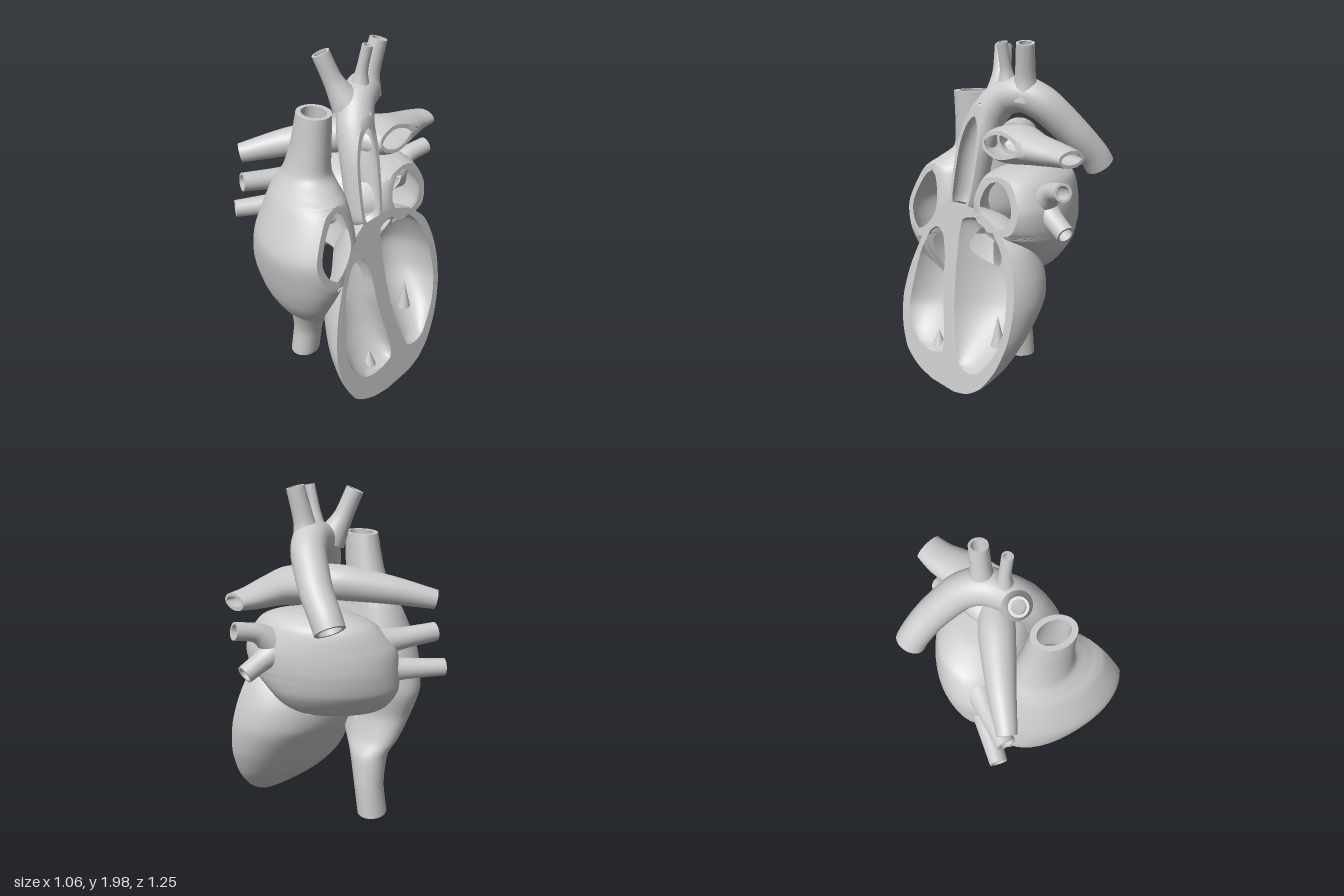
import * as THREE from 'three';
import { toCreasedNormals } from 'three/addons/utils/BufferGeometryUtils.js';

const material = new THREE.MeshStandardMaterial({ color: 0xcccccc, side: THREE.DoubleSide });
const V = (x, y, z) => new THREE.Vector3(x, y, z);

// The section plane that opens the chambers: everything with x beyond it is cut away.
const NORMAL = V(1, 0.17, -0.28), OFFSET = 0.46;
const planeX = (y, z) => OFFSET - 0.17 * y + 0.28 * z;
const ALONG_PLANE = V(0.28, 0, 1);

// Valve openings, oval in z and y: [z, y, half width, half height, lowest x affected].
const VALVES = [[-0.155, 0.855, 0.135, 0.155, -0.12], [0.215, 0.71, 0.11, 0.16, 0]];

// Station centred on the section plane, from z0 to z1, reaching inwards by depth.
const onPlane = (y, z0, z1, depth) =>
  [planeX(y, (z0 + z1) / 2), y, (z0 + z1) / 2, depth, Math.abs(z1 - z0) / 2];

// Cuts the valve ovals cleanly out of a list of triangles.
function openValves(triangles) {
  for (const [z, y, w, h, x] of VALVES) {
    const field = p => Math.hypot((p.z - z) / w, (p.y - y) / h) - 1;
    triangles = triangles.flatMap(t => {
      if (t.every(p => p.x < x)) return [t];
      const kept = [];
      t.forEach((p, i) => {
        const q = t[(i + 1) % 3], a = field(p), b = field(q);
        if (a >= 0) kept.push(p);
        if (a * b < 0) kept.push(p.clone().lerp(q, a / (a - b)));
      });
      return kept.slice(2).map((p, i) => [kept[0], kept[i + 1], p]);
    });
  }
  return triangles;
}

// Ring stations [x, y, z, ru, rv] swept into a shell that is cut by the plane.
// across makes the rings horizontal, with x and that vector as their axes;
// wall > 0 adds an inner skin and lips.
function sweep(stations, { wall = 0, across = null, valves = false, arc = 40 } = {}) {
  const path = new THREE.CatmullRomCurve3(stations.map(s => V(s[0], s[1], s[2])), false, 'catmullrom', 0.4);
  const radii = new THREE.CatmullRomCurve3(stations.map(s => V(s[3], s[4] ?? s[3], 0)), false, 'catmullrom', 0.4);
  const steps = (stations.length - 1) * 9;
  const rings = [], first = [], last = [];
  let u = V(1, 0, 0), v = across;

  for (let j = 0; j <= steps; j++) {
    const c = path.getPoint(j / steps), r = radii.getPoint(j / steps);
    if (!across) {
      const t = path.getTangent(j / steps);
      u = u.clone().addScaledVector(t, -u.dot(t)).normalize();
      v = t.clone().cross(u);
    }
    // the part of an ellipse that lies behind the section plane
    const section = inset => {
      const a = Math.max(r.x - inset, 0.002), b = Math.max(r.y - inset, 0.002);
      const pu = a * NORMAL.dot(u), pv = b * NORMAL.dot(v);
      const side = (OFFSET - NORMAL.dot(c)) / Math.hypot(pu, pv);
      const half = Math.acos(THREE.MathUtils.clamp(side, -1, 1));
      const middle = Math.atan2(pv, pu);
      const points = Array.from({ length: arc + 1 }, (_, i) => {
        const q = middle + half + (2 * Math.PI - 2 * half) * i / arc;
        return c.clone().addScaledVector(u, a * Math.cos(q)).addScaledVector(v, b * Math.sin(q));
      });
      return { points, cut: half > 0 };
    };
    const outer = section(0);
    first.push(outer.points[0]);
    last.push(outer.points[arc]);
    if (!wall) {
      rings.push(outer.points);
      continue;
    }
    // where only the outer skin is cut, bring the inner ends up to a flat lip
    const inner = section(wall).points;
    if (outer.cut) for (const p of [inner[0], inner[arc]])
      p.addScaledVector(NORMAL, (OFFSET - NORMAL.dot(p)) / NORMAL.lengthSq());
    rings.push([...outer.points, ...inner.reverse()]);
  }

  let triangles = [];
  const n = rings[0].length;
  const quad = (a, b, c, d) => triangles.push([a, b, c], [a, c, d]);
  for (let j = 0; j < steps; j++)
    for (let i = 0; i < (wall ? n : n - 1); i++) {
      const k = (i + 1) % n;
      quad(rings[j][i], rings[j + 1][i], rings[j + 1][k], rings[j][k]);
    }
  // lips joining both skins at the open ends
  if (wall) for (const ring of [rings[0], rings[steps]])
    for (let i = 0; i < arc; i++) {
      const q = [ring[i], ring[i + 1], ring[n - 2 - i], ring[n - 1 - i]];
      quad(...(ring === rings[0] ? q : q.reverse()));
    }
  if (valves) triangles = openValves(triangles);
  const geometry = new THREE.BufferGeometry().setFromPoints(triangles.flat());
  return { geometry: toCreasedNormals(geometry, 0.8), edge: [...first, ...last.reverse()] };
}

export function createModel() {
  const heart = new THREE.Group();
  heart.name = 'heartSection';
  const add = (name, geometry) => {
    const mesh = new THREE.Mesh(geometry, material);
    mesh.name = name;
    heart.add(mesh);
    return mesh;
  };
  const vessel = (name, wall, ...stations) => add(name, sweep(stations, { wall, arc: 28 }).geometry);

  // Right atrium with the upper and lower great veins
  add('rightAtriumAndVeins', sweep([
    [0.08, 1.69, 0.275, 0.12, 0.095], [0.05, 1.5, 0.28, 0.14, 0.11], [0.025, 1.36, 0.29, 0.17, 0.13],
    [0.05, 1.29, 0.31, 0.235, 0.16], [0.08, 1.22, 0.33, 0.295, 0.195], [0.09, 1.0, 0.36, 0.375, 0.26],
    [0.05, 0.8, 0.38, 0.375, 0.215], [0.03, 0.63, 0.365, 0.305, 0.175], [-0.02, 0.48, 0.3, 0.235, 0.145],
    [-0.1, 0.38, 0.23, 0.14, 0.12], [-0.15, 0.2, 0.2, 0.1, 0.1], [-0.175, 0.01, 0.21, 0.095, 0.1],
  ], { wall: 0.03, across: V(0.2, 0, 1), valves: true }).geometry);

  // Left atrium, reaching diagonally behind the right one
  add('leftAtrium', sweep([
    [-0.08, 1.33, -0.16, 0.02, 0.02], [-0.08, 1.31, -0.16, 0.15, 0.16], [-0.08, 1.25, -0.13, 0.28, 0.27],
    [-0.08, 1.12, -0.1, 0.33, 0.36], [-0.1, 1.0, -0.09, 0.32, 0.365], [-0.17, 0.88, -0.07, 0.23, 0.33],
    [-0.18, 0.79, -0.05, 0.16, 0.28], [-0.18, 0.73, -0.03, 0.1, 0.2], [-0.18, 0.71, -0.03, 0.02, 0.02],
  ], { wall: 0.035, across: V(-0.4, 0, 1), valves: true }).geometry);

  // Ventricles: outer wall, two cavities and the cut face between them
  const ventricle = { across: ALONG_PLANE, valves: true };
  const outer = sweep([
    onPlane(0.02, -0.16, 0.05, 0.01), onPlane(0.05, -0.27, 0.19, 0.05), onPlane(0.12, -0.37, 0.32, 0.13),
    onPlane(0.25, -0.46, 0.4, 0.25), onPlane(0.42, -0.52, 0.435, 0.34), onPlane(0.6, -0.53, 0.41, 0.42),
    onPlane(0.75, -0.5, 0.36, 0.4), onPlane(0.9, -0.43, 0.29, 0.31), onPlane(1.02, -0.28, 0.21, 0.2),
    onPlane(1.08, -0.1, 0.12, 0.05),
  ], ventricle);
  const rightCavity = sweep([
    onPlane(0.18, 0.08, 0.14, 0.01), onPlane(0.2, 0.0, 0.22, 0.06), onPlane(0.27, -0.01, 0.3, 0.12),
    onPlane(0.4, 0.02, 0.36, 0.17), onPlane(0.6, 0.07, 0.345, 0.18), onPlane(0.75, 0.09, 0.315, 0.15),
    onPlane(0.87, 0.13, 0.26, 0.09), onPlane(0.91, 0.18, 0.21, 0.01),
  ], ventricle);
  const leftCavity = sweep([
    onPlane(0.17, -0.28, -0.22, 0.01), onPlane(0.2, -0.34, -0.16, 0.06), onPlane(0.34, -0.44, -0.1, 0.17),
    onPlane(0.5, -0.48, -0.055, 0.27), onPlane(0.7, -0.455, -0.025, 0.29), onPlane(0.9, -0.36, -0.01, 0.2),
    onPlane(1.0, -0.25, -0.02, 0.09), onPlane(1.03, -0.16, -0.1, 0.01),
  ], ventricle);
  add('ventricleWall', outer.geometry);
  add('rightVentricleCavity', rightCavity.geometry);
  add('leftVentricleCavity', leftCavity.geometry);

  const flatten = edge => edge.map(p => new THREE.Vector2(p.z, p.y));
  const face = new THREE.Shape(flatten(outer.edge));
  for (const cavity of [rightCavity, leftCavity]) face.holes.push(new THREE.Path(flatten(cavity.edge)));
  const faceGeometry = new THREE.ShapeGeometry(face);
  const pos = faceGeometry.attributes.position;
  for (let i = 0; i < pos.count; i++) {
    const z = pos.getX(i), y = pos.getY(i);
    pos.setXYZ(i, planeX(y, z), y, z);
  }
  faceGeometry.computeVertexNormals();
  add('ventricleCutFace', faceGeometry);

  // Small muscles rising from the cavity floors
  for (const [name, x, y, z, h] of [
    ['rightPapillaryMuscle', 0.39, 0.24, 0.13, 0.1], ['leftPapillaryMuscle', 0.19, 0.41, -0.29, 0.18],
  ]) add(name, new THREE.ConeGeometry(0.04, h, 20, 4)).position.set(x, y, z);

  // Aorta: opened rising part, arch and descending end
  vessel('aorta', 0.02,
    [0.27, 1.01, 0.06, 0.04], [0.24, 1.09, 0.05, 0.1], [0.18, 1.38, 0.045, 0.112], [0.11, 1.56, 0.03, 0.105],
    [0.04, 1.67, -0.03, 0.1], [-0.04, 1.7, -0.13, 0.1], [-0.14, 1.64, -0.205, 0.097],
    [-0.3, 1.48, -0.255, 0.09], [-0.41, 1.365, -0.265, 0.086], [-0.455, 1.3, -0.265, 0.085]);
  vessel('frontArchBranch', 0.014, [0.03, 1.67, 0.03, 0.09], [-0.01, 1.8, 0.09, 0.055], [-0.045, 1.95, 0.145, 0.05]);
  vessel('middleArchBranch', 0.01, [0.02, 1.7, -0.06, 0.07], [0.035, 1.83, -0.065, 0.035], [0.065, 1.98, -0.08, 0.03]);
  vessel('rearArchBranch', 0.014, [-0.04, 1.68, -0.15, 0.09], [-0.03, 1.8, -0.17, 0.058], [-0.01, 1.98, -0.21, 0.05]);

  // Pulmonary artery: opened left branch and long right branch
  vessel('leftPulmonaryArtery', 0.018,
    [0.03, 1.45, 0, 0.06], [0.03, 1.445, -0.08, 0.16, 0.085], [0.03, 1.44, -0.2, 0.18, 0.105],
    [0, 1.435, -0.34, 0.13, 0.085], [-0.055, 1.425, -0.5, 0.1, 0.062], [-0.075, 1.42, -0.615, 0.083, 0.046]);
  vessel('rightPulmonaryArtery', 0.015,
    [0.02, 1.46, -0.12, 0.09], [-0.09, 1.45, 0.03, 0.1], [-0.24, 1.41, 0.26, 0.08], [-0.37, 1.355, 0.48, 0.055]);

  // Pulmonary veins joining the left atrium
  const veins = {
    upperRightVein: [[-0.27, 1.13, 0.08, 0.11], [-0.33, 1.15, 0.25, 0.065], [-0.375, 1.17, 0.48, 0.054]],
    lowerRightVein: [[-0.27, 0.98, 0.08, 0.11], [-0.35, 0.98, 0.25, 0.065], [-0.445, 0.975, 0.5, 0.05]],
    upperLeftVein: [[-0.04, 1.14, -0.36, 0.09], [-0.04, 1.22, -0.47, 0.055], [-0.035, 1.25, -0.605, 0.05]],
    lowerLeftVein: [[-0.05, 1.12, -0.34, 0.1], [-0.06, 1.07, -0.45, 0.06], [-0.075, 1.01, -0.57, 0.052]],
  };
  for (const [name, stations] of Object.entries(veins)) vessel(name, 0.013, ...stations);

  return heart;
}
